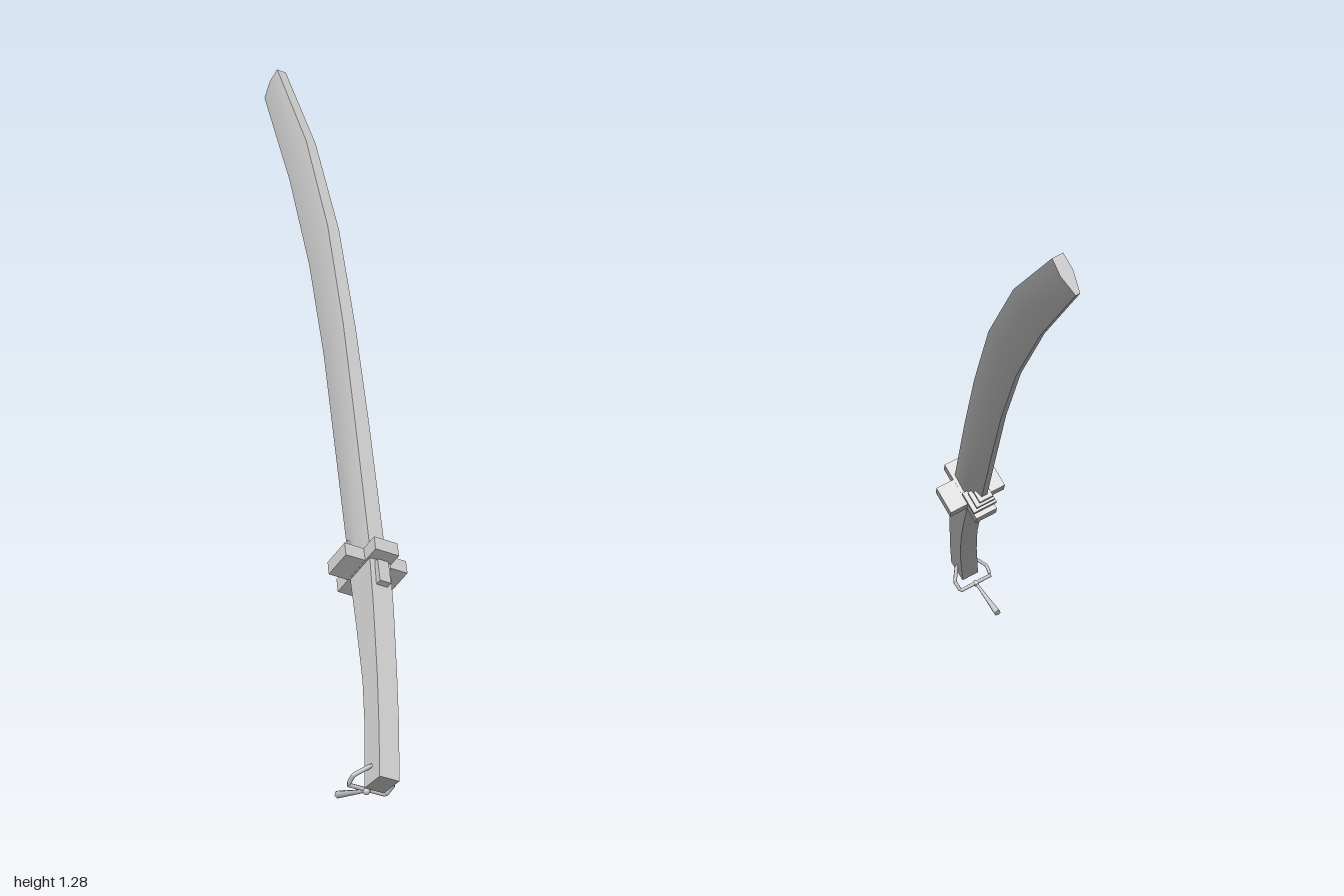
import * as THREE from 'three';
import { toCreasedNormals } from 'three/addons/utils/BufferGeometryUtils.js';

const material = new THREE.MeshStandardMaterial({ color: 0xcccccc, side: THREE.DoubleSide });

function addMesh(parent, name, geometry, x = 0, y = 0, z = 0) {
  const mesh = new THREE.Mesh(geometry, material);
  mesh.name = name;
  mesh.position.set(x, y, z);
  parent.add(mesh);
  return mesh;
}

// Sweeps a section along stations [topZ, topY, bottomZ, bottomY, halfWidth].
// Section points are [sideways factor, depth 0..1 from spine to edge].
function loft(stations, section, crease) {
  const positions = [], index = [], n = section.length;
  for (const [tz, ty, bz, by, w] of stations) {
    for (const [s, d] of section) {
      positions.push(s * w, ty + (by - ty) * d, tz + (bz - tz) * d);
    }
  }
  const last = (stations.length - 1) * n;
  for (let r = 0; r < last; r += n) {
    for (let j = 0; j < n; j++) {
      const k = (j + 1) % n;
      index.push(r + j, r + k, r + n + k, r + j, r + n + k, r + n + j);
    }
  }
  for (let j = 1; j < n - 1; j++) {
    index.push(0, j + 1, j, last, last + j, last + j + 1);
  }
  const geometry = new THREE.BufferGeometry();
  geometry.setAttribute('position', new THREE.Float32BufferAttribute(positions, 3));
  geometry.setIndex(index);
  return toCreasedNormals(geometry, crease);
}

export function createModel() {
  const model = new THREE.Group();
  model.name = 'curvedSword';

  // The sword lies in its own y-z plane, leaned sideways
  const sword = new THREE.Group();
  sword.name = 'sword';
  sword.position.x = -0.264;
  sword.rotation.z = -Math.PI / 8;
  model.add(sword);

  // Blade: flat spine, gently swollen sides, narrow lower edge, square tip
  const bladeSection = [[-1, 0], [1, 0], [1.15, 0.45], [0.4, 1], [-0.4, 1], [-1.15, 0.45]];
  addMesh(sword, 'blade', loft([
    [0.56, 0.51, 0.49, 0.43, 0.02],
    [0.25, 0.73, 0.17, 0.652, 0.019],
    [0, 0.903, -0.06, 0.81, 0.017],
    [-0.29, 1.087, -0.33, 0.978, 0.016],
    [-0.61, 1.249, -0.64, 1.14, 0.014],
    [-0.965, 1.382, -0.997, 1.3, 0.013],
  ], bladeSection, 0.7));

  // Handle: rectangular bar, curving down to a slanted butt
  const handleSection = [[-1, 0], [1, 0], [1, 1], [-1, 1]];
  addMesh(sword, 'handle', loft([
    [0.997, 0.13, 0.954, 0.085, 0.024],
    [0.91, 0.217, 0.86, 0.185, 0.025],
    [0.82, 0.3, 0.77, 0.264, 0.025],
    [0.69, 0.413, 0.65, 0.35, 0.026],
    [0.57, 0.51, 0.525, 0.435, 0.026],
  ], handleSection, 0.5));

  // Guard: crossed bars square to the blade
  const guard = new THREE.Group();
  guard.name = 'guard';
  guard.position.set(0, 0.462, 0.547);
  guard.rotation.x = 0.62;
  sword.add(guard);
  addMesh(guard, 'guardUpright', new THREE.BoxGeometry(0.06, 0.165, 0.035));
  addMesh(guard, 'guardCrossbar', new THREE.BoxGeometry(0.158, 0.075, 0.034));
  addMesh(guard, 'spineBlock', new THREE.BoxGeometry(0.028, 0.035, 0.06), 0, 0.045, 0.055);

  // Stepped fins under the root of the blade
  for (let i = 0; i < 3; i++) {
    addMesh(guard, 'collarFin', new THREE.BoxGeometry(0.066 - i * 0.014, 0.06 - i * 0.014, 0.012),
      0, -0.042 - i * 0.006, -0.035 - i * 0.03);
  }

  // D-shaped ring through the butt of the handle
  const ringPath = new THREE.CurvePath();
  const ringPoints = [[-0.045, 0.074], [0.048, 0.074], [0.05, 0.1], [0.026, 0.133], [-0.026, 0.133], [-0.048, 0.1]]
    .map(([x, y]) => new THREE.Vector3(x, y, 0.92 + (y - 0.074) * 0.45));
  ringPoints.forEach((p, i) => ringPath.add(new THREE.LineCurve3(p, ringPoints[(i + 1) % ringPoints.length])));
  ringPath.getPointAt(0);
  addMesh(sword, 'buttRing', new THREE.TubeGeometry(ringPath, 48, 0.005, 6, true));

  // Tassel trailing from the ring
  const start = new THREE.Vector3(0, 0.072, 0.922);
  const end = new THREE.Vector3(0.004, 0.016, 0.802);
  const direction = end.clone().sub(start);
  const tassel = addMesh(sword, 'tassel', new THREE.CylinderGeometry(0.009, 0.0035, direction.length(), 6));
  tassel.position.copy(start).lerp(end, 0.5);
  tassel.quaternion.setFromUnitVectors(new THREE.Vector3(0, 1, 0), direction.normalize());
  addMesh(sword, 'tasselKnot', new THREE.SphereGeometry(0.009, 8, 6), start.x, start.y, start.z);

  return model;
}
